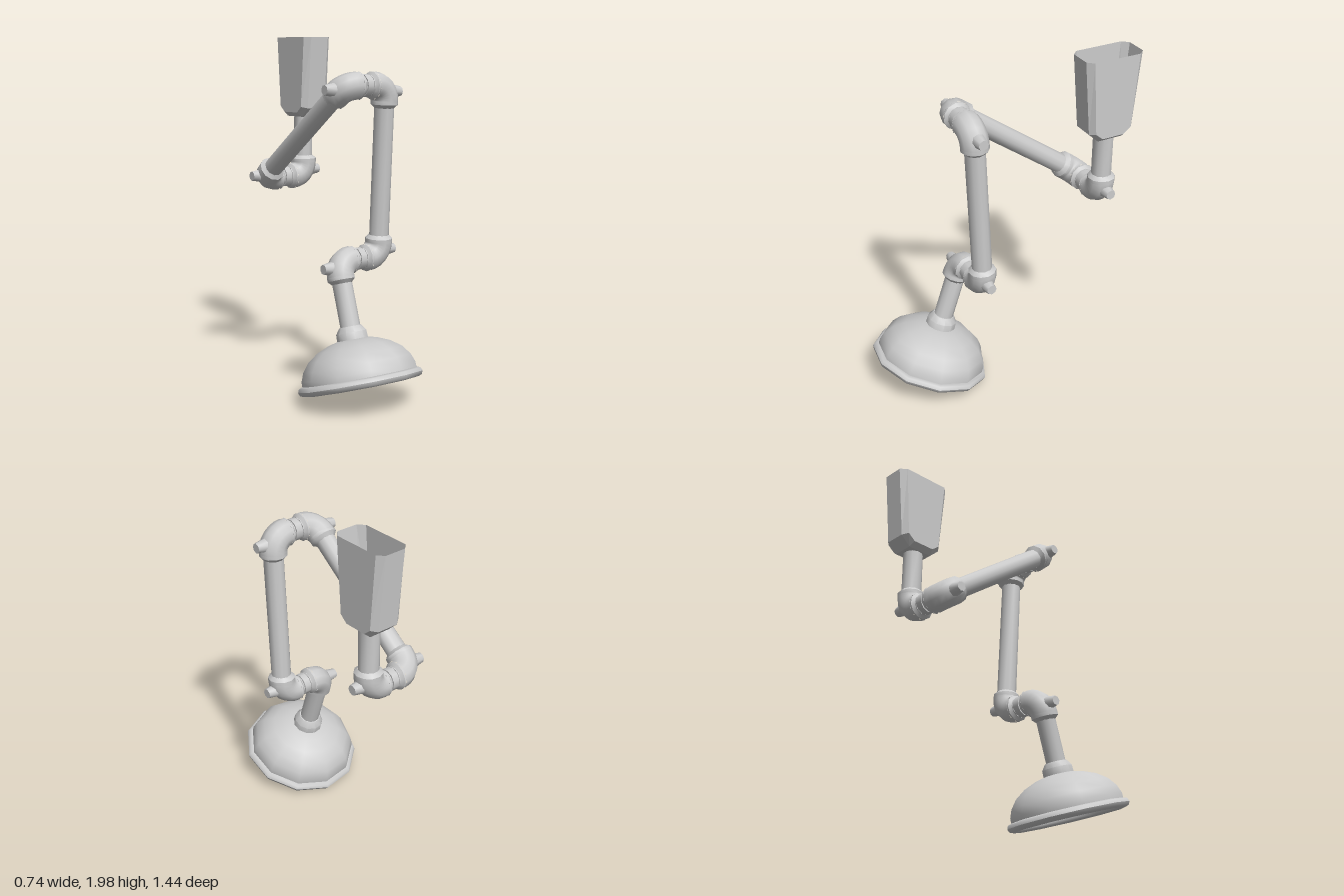
import * as THREE from 'three';
import { toCreasedNormals } from 'three/addons/utils/BufferGeometryUtils.js';

const SIDES = 11, PIPE_R = 0.056, BODY_R = 0.077, BEND = 0.085;
const LEFT_X = -0.025, RIGHT_X = 0.258, MID_X = (LEFT_X + RIGHT_X) / 2;

const grey = new THREE.MeshStandardMaterial({ color: 0xcccccc });
const greyThin = new THREE.MeshStandardMaterial({ color: 0xcccccc, side: THREE.DoubleSide });
const greyFlat = new THREE.MeshStandardMaterial({ color: 0xcccccc, side: THREE.DoubleSide, flatShading: true });

function part(name, geometry, material = grey) {
  const mesh = new THREE.Mesh(geometry, material);
  mesh.name = name;
  return mesh;
}

// Turned part; points are [radius, y] from bottom to top
function turned(points) {
  const profile = points.map(([r, y]) => new THREE.Vector2(r, y));
  return toCreasedNormals(new THREE.LatheGeometry(profile, SIDES, -Math.PI / 2), 0.65);
}

// Straight pipe between two points
function pipe(name, a, b) {
  const dir = b.clone().sub(a);
  const geometry = toCreasedNormals(new THREE.CylinderGeometry(PIPE_R, PIPE_R, dir.length(), SIDES), 0.65);
  const mesh = part(name, geometry);
  mesh.position.copy(a).add(b).multiplyScalar(0.5);
  mesh.quaternion.setFromUnitVectors(new THREE.Vector3(0, 1, 0), dir.normalize());
  return mesh;
}

// Elbow fitting: swivel end along +x, pipe socket along -y, bolt on the outside
function elbow(name, position, pipeDir, flipped) {
  const group = new THREE.Group();
  group.name = name;

  const bend = part('elbowBend', new THREE.TorusGeometry(BEND, BODY_R, SIDES, 6, Math.PI / 2).rotateZ(Math.PI / 2));
  bend.position.set(BEND, -BEND, 0);

  const socket = part('pipeSocket', turned([[PIPE_R, -0.04], [BODY_R, -0.02], [BODY_R, 0]]));
  socket.position.y = -BEND;

  const swivel = part('swivelEnd', turned([[0, -0.032], [0.06, -0.032], [0.06, -0.026], [BODY_R, -0.012], [BODY_R, 0]]));
  swivel.rotation.z = Math.PI / 2;
  swivel.position.x = BEND;

  const bolt = part('bolt', toCreasedNormals(new THREE.CylinderGeometry(0.028, 0.046, 0.1, 8).rotateZ(Math.PI / 2), 0.9));
  bolt.position.set(-0.058, -0.035, 0);

  group.add(bend, socket, swivel, bolt);
  group.position.copy(position);
  group.rotation.set(Math.atan2(-pipeDir.z, -pipeDir.y), flipped ? Math.PI : 0, 0);
  return group;
}

// Dome shade with rolled rim and neck collar, hanging down from the joint
function lampShade() {
  const group = new THREE.Group();
  group.name = 'lampShade';
  const dome = turned([
    [0.318, -0.65], [0.317, -0.61], [0.3, -0.565], [0.263, -0.516],
    [0.205, -0.474], [0.135, -0.445], [0.08, -0.432], [0, -0.428],
  ]);
  const rim = [];
  for (let i = 0; i <= 8; i++) {
    const a = (i / 8) * Math.PI * 2;
    rim.push([0.32 + 0.026 * Math.cos(a), -0.664 + 0.026 * Math.sin(a)]);
  }
  group.add(
    part('shadeDome', dome, greyThin),
    part('shadeRim', new THREE.LatheGeometry(rim.map(([r, y]) => new THREE.Vector2(r, y)), SIDES, -Math.PI / 2)),
    part('shadeCollar', turned([[0.087, -0.45], [0.085, -0.395], [0.062, -0.362], [0, -0.362]])),
  );
  return group;
}

// Open tapered holder: a wide profile between two inset side profiles
function holder() {
  const full = [[-0.172, 2], [-0.133, 1.58], [-0.075, 1.527], [0.075, 1.527], [0.133, 1.58], [0.172, 2]];
  const inset = [[-0.138, 2], [-0.108, 1.588], [-0.065, 1.553], [0.065, 1.553], [0.108, 1.588], [0.138, 2]];
  const stations = [[-0.092, inset], [-0.06, full], [0.06, full], [0.092, inset]];
  const n = full.length, vertices = [], index = [];
  for (const [x, profile] of stations) {
    for (const [z, y] of profile) vertices.push(x, y, z);
  }
  for (let s = 0; s < stations.length - 1; s++) {
    for (let i = 0; i < n - 1; i++) {
      const a = s * n + i, b = a + n;
      index.push(a, b, b + 1, a, b + 1, a + 1);
    }
  }
  // Side walls
  const last = (stations.length - 1) * n;
  for (let i = 1; i < n - 1; i++) {
    index.push(0, i, i + 1, last, last + i + 1, last + i);
  }
  const geometry = new THREE.BufferGeometry();
  geometry.setAttribute('position', new THREE.Float32BufferAttribute(vertices, 3));
  geometry.setIndex(index);
  const flat = geometry.toNonIndexed();
  flat.computeVertexNormals();
  return part('holder', flat, greyFlat);
}

export function createModel() {
  const model = new THREE.Group();
  model.name = 'articulatedLamp';
  const at = (x, [y, z]) => new THREE.Vector3(x, y, z);

  // Joint axes as [y, z]
  const top = [1.732, 0.237], back = [1.166, -0.545], low = [0.772, 0.188];
  const shadeDir = new THREE.Vector3(0, -0.949, 0.314);
  const up = new THREE.Vector3(0, 1, 0);
  const foreDir = at(0, back).sub(at(0, top)).normalize();
  const armDir = at(0, low).sub(at(0, top)).normalize();

  // Each joint is a pair of elbows facing each other
  const joints = [
    ['topJoint', top, foreDir, armDir],
    ['backJoint', back, foreDir.clone().negate(), up],
    ['lowerJoint', low, shadeDir, armDir.clone().negate()],
  ];
  for (const [name, pos, rightDir, leftDir] of joints) {
    const joint = new THREE.Group();
    joint.name = name;
    const pin = part('swivelPin', new THREE.CylinderGeometry(0.062, 0.062, 0.04, SIDES).rotateZ(Math.PI / 2));
    pin.position.copy(at(MID_X, pos));
    joint.add(
      elbow('rightElbow', at(LEFT_X, pos), rightDir, false),
      elbow('leftElbow', at(RIGHT_X, pos), leftDir, true),
      pin,
    );
    model.add(joint);
  }

  // Pipes run from socket to socket
  const link = (name, x, a, b) => {
    const p = at(x, a), q = at(x, b);
    const inset = q.clone().sub(p).setLength(0.1);
    model.add(pipe(name, p.add(inset), q.sub(inset)));
  };
  link('forearmPipe', LEFT_X, top, back);
  link('upperArmPipe', RIGHT_X, top, low);

  const shadeStart = at(LEFT_X, low);
  model.add(pipe('shadePipe', shadeStart.clone().addScaledVector(shadeDir, 0.1), shadeStart.clone().addScaledVector(shadeDir, 0.42)));
  model.add(pipe('holderPost', at(RIGHT_X, [1.266, back[1]]), at(RIGHT_X, [1.526, back[1]])));

  const shade = lampShade();
  shade.position.copy(shadeStart);
  shade.rotation.x = Math.atan2(-shadeDir.z, -shadeDir.y);
  model.add(shade);

  const cup = holder();
  cup.position.set(RIGHT_X, 0, back[1]);
  model.add(cup);
  return model;
}
